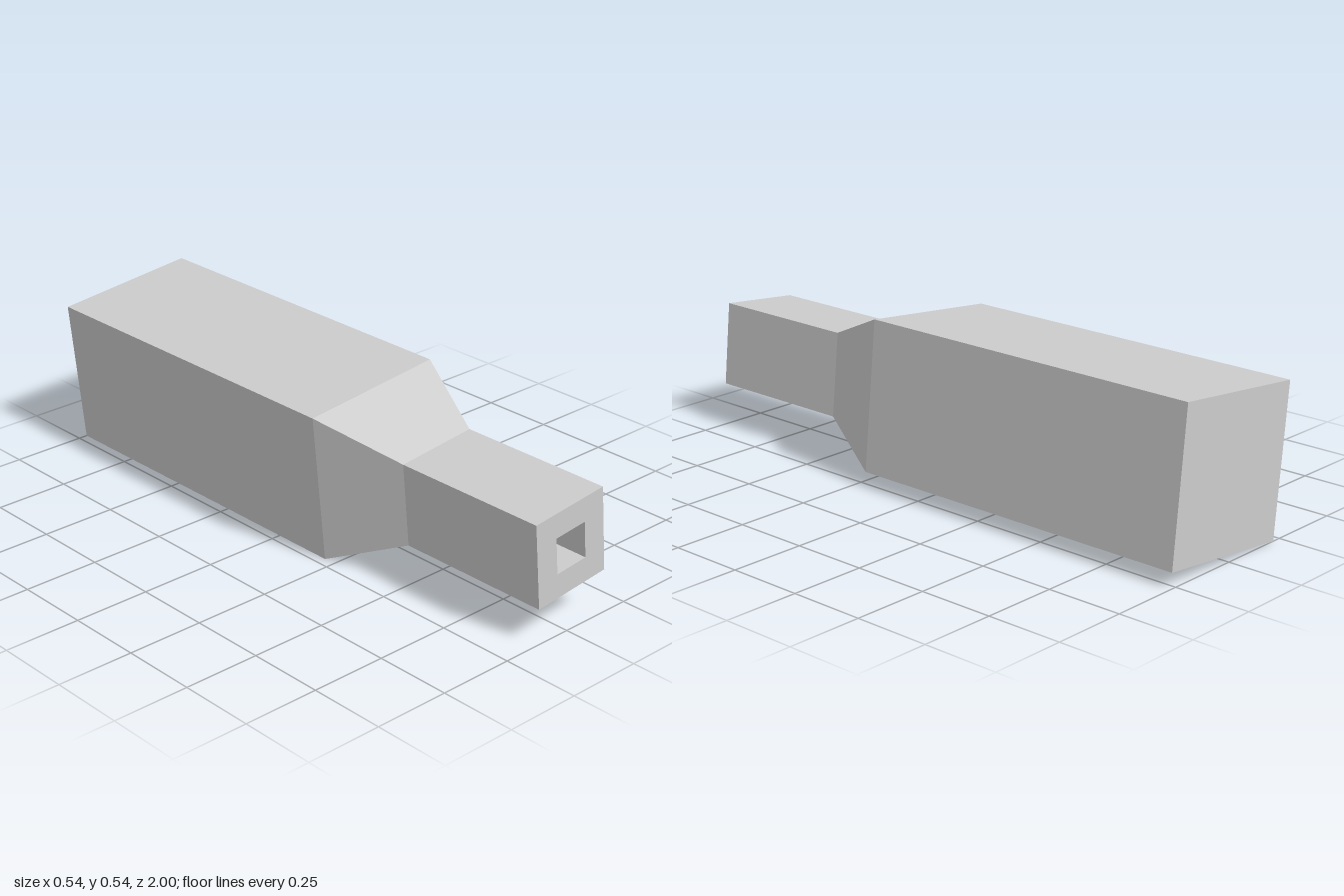
import * as THREE from 'three';

// Half side of each square cross-section, and its z along the bottle
const PROFILE = [
  [0, -1],            // closed base
  [0.245, -1],
  [0.245, 0.21],      // body
  [0.139, 0.475],     // shoulder
  [0.139, 1],         // neck
  [0.0593, 1],        // rim
  [0.0593, -0.9],     // bore
  [0, -0.9],          // bore floor
];

export function createModel() {
  const grey = new THREE.MeshStandardMaterial({ color: 0xcccccc });
  grey.name = 'light grey';

  const group = new THREE.Group();
  group.name = 'squareBottle';

  // Four-sided lathe, with corners on the diagonals
  const section = (name, from, to) => {
    const points = PROFILE.slice(from, to + 1)
      .map(([half, z]) => new THREE.Vector2(half * Math.SQRT2, z));
    const geometry = new THREE.LatheGeometry(points, 4, Math.PI / 4).toNonIndexed();
    geometry.rotateX(Math.PI / 2);
    geometry.computeVertexNormals(); // flat faces
    const mesh = new THREE.Mesh(geometry, grey);
    mesh.name = name;
    group.add(mesh);
  };

  section('body', 0, 2);
  section('shoulder', 2, 3);
  section('neck', 3, 4);
  section('rim', 4, 5);
  section('bore', 5, 7);

  // Bottle lies along z, rolled slightly onto one edge
  group.rotation.z = Math.atan2(0.049, 0.487);
  group.position.y = 0.2685;

  const model = new THREE.Group();
  model.name = 'lyingBottle';
  model.add(group);
  return model;
}
